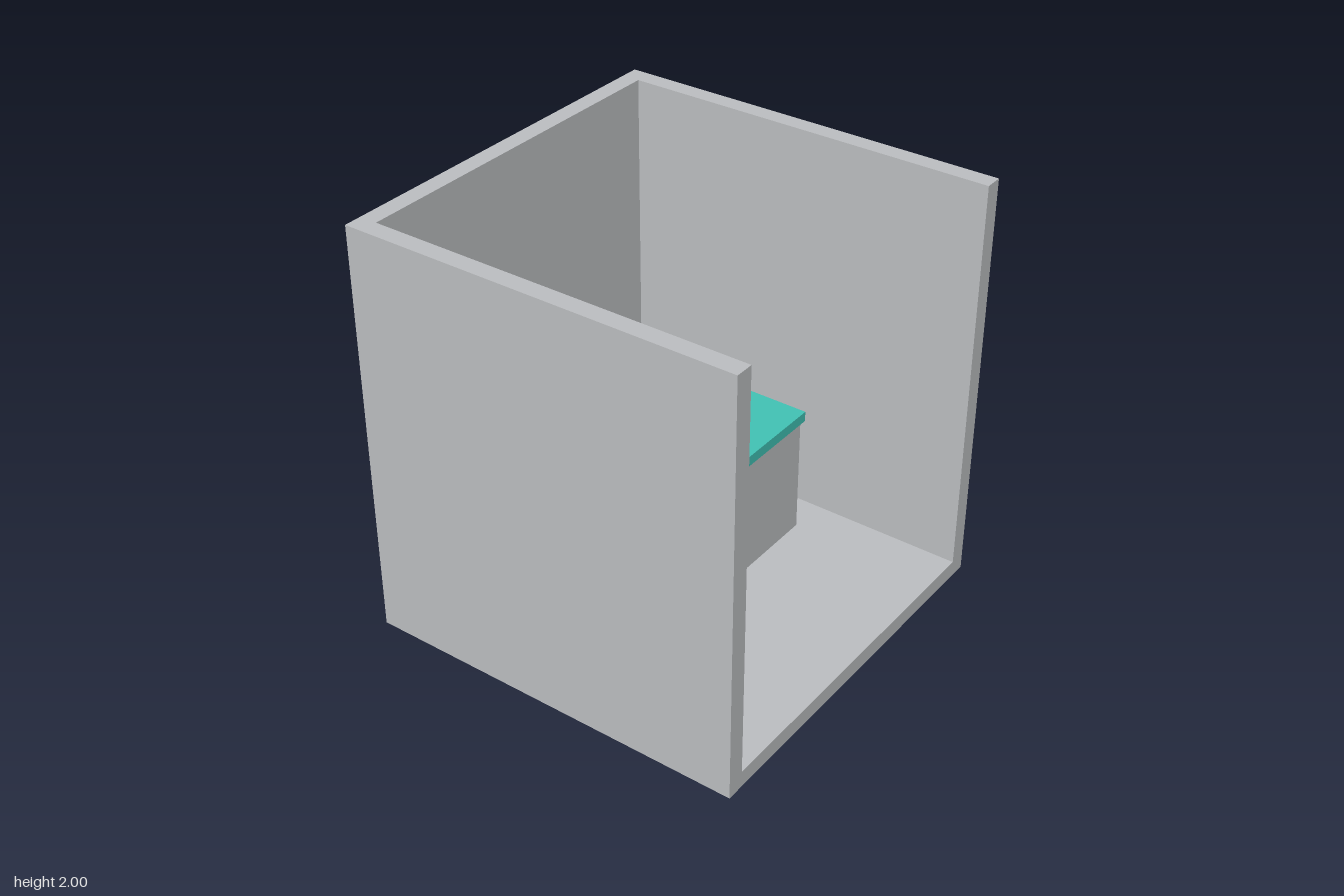
import * as THREE from 'three';

const OUT = 0.935;   // outer half width and depth
const IN = 0.85;     // inner half width
const FLOOR = 0.08;  // floor thickness
const HEIGHT = 2;

export function createModel() {
  const group = new THREE.Group();
  const grey = new THREE.MeshStandardMaterial({ color: 0xbec0c3 });
  grey.name = 'light grey';
  const teal = new THREE.MeshStandardMaterial({ color: 0x42c4b6 });
  teal.name = 'teal';

  // Box standing on height y
  const addBox = (name, w, h, d, y, material) => {
    const mesh = new THREE.Mesh(new THREE.BoxGeometry(w, h, d), material);
    mesh.name = name;
    mesh.position.y = y + h / 2;
    group.add(mesh);
  };

  // Floor slab
  addBox('floor', OUT * 2, FLOOR, OUT * 2, 0, grey);

  // U-shaped walls, open at the front; shape y becomes -z
  const plan = new THREE.Shape([
    [-OUT, -OUT], [-IN, -OUT], [-IN, IN], [IN, IN],
    [IN, -OUT], [OUT, -OUT], [OUT, OUT], [-OUT, OUT],
  ].map(([x, y]) => new THREE.Vector2(x, y)));
  const wallGeometry = new THREE.ExtrudeGeometry(plan, { depth: HEIGHT - FLOOR, bevelEnabled: false });
  wallGeometry.rotateX(-Math.PI / 2);
  const walls = new THREE.Mesh(wallGeometry, grey);
  walls.name = 'walls';
  walls.position.y = FLOOR;
  group.add(walls);

  // Counter with a slightly overhanging top
  addBox('counterBase', 1.33, 0.585, 0.395, FLOOR, grey);
  addBox('counterTop', 1.36, 0.05, 0.425, 0.665, teal);

  return group;
}
